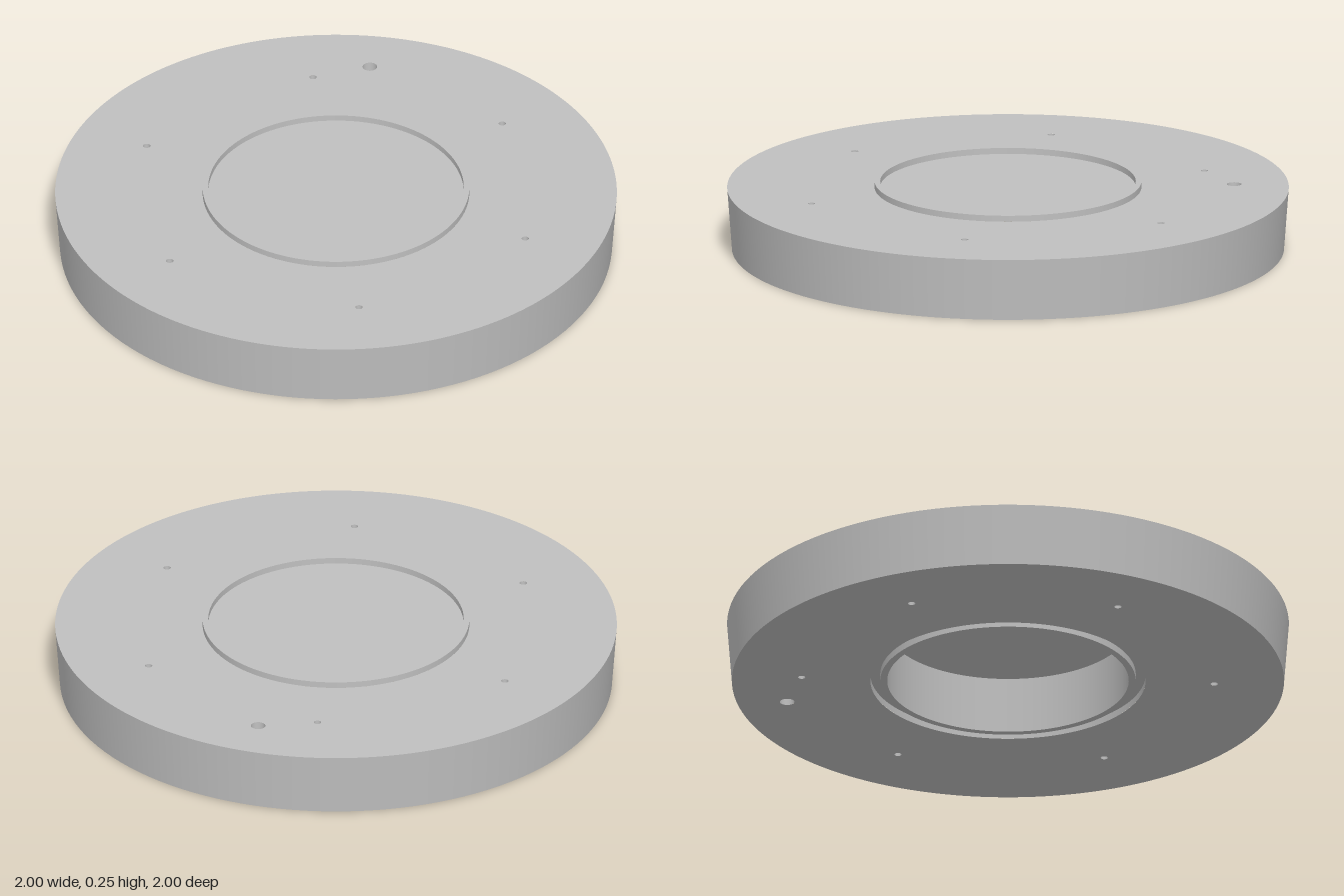
import * as THREE from 'three';
import { mergeGeometries } from 'three/addons/utils/BufferGeometryUtils.js';

const HEIGHT = 0.225; // flat top of the disc
const SEGMENTS = 128;
const PIN = { radius: 0.013, circle: 0.735, depth: 0.08 };
const DRAIN = { x: 0.57, z: -0.57, radius: 0.026 };

// Revolves a profile with a sharp edge at each corner; the solid lies to its left
function turned(profile, segments = SEGMENTS) {
  const bands = [];
  for (let i = 0; i < profile.length - 1; i++) {
    const pair = [profile[i], profile[i + 1]].map(([r, y]) => new THREE.Vector2(r, y));
    bands.push(new THREE.LatheGeometry(pair, segments));
  }
  return mergeGeometries(bands);
}

// Flat ring pierced by round holes, facing up (side 1) or down (side -1)
function piercedRing(inner, outer, y, side, holes) {
  const shape = new THREE.Shape().absarc(0, 0, outer, 0, Math.PI * 2, false);
  const cut = (x, z, r) =>
    shape.holes.push(new THREE.Path().absarc(x, -side * z, r, 0, Math.PI * 2, true));
  cut(0, 0, inner);
  holes.forEach((h) => cut(h.x, h.z, h.radius));
  return new THREE.ShapeGeometry(shape, SEGMENTS).rotateX((-side * Math.PI) / 2).translate(0, y, 0);
}

export function createModel() {
  const group = new THREE.Group();
  const grey = new THREE.MeshStandardMaterial({ color: 0xc0c0c0 });
  grey.name = 'plain grey';

  const add = (name, geometry, x = 0, z = 0) => {
    const mesh = new THREE.Mesh(geometry, grey);
    mesh.name = name;
    mesh.position.set(x, 0, z);
    group.add(mesh);
  };

  // Six pin holes on a circle, plus one larger through hole
  const pins = [];
  for (let i = 0; i < 6; i++) {
    const a = (i * Math.PI) / 3;
    pins.push({ x: PIN.circle * Math.cos(a), z: PIN.circle * Math.sin(a), radius: PIN.radius });
  }
  const holes = [...pins, DRAIN];

  // Disc body
  add('outerWall', turned([[0.983, 0], [1, HEIGHT]]));
  add('topFace', piercedRing(0.475, 1, HEIGHT, 1, holes));
  add('bottomFace', piercedRing(0.49, 0.983, 0, -1, holes));

  // Raised locating ring with the thin centre web inside it
  add('raisedRing', turned([[0.475, HEIGHT], [0.475, 0.247], [0.455, 0.247], [0.455, HEIGHT], [0, HEIGHT]]));

  // Deep central pocket below, surrounded by a matching shallow groove
  add('pocketAndGroove', turned([
    [0, 0.207], [0.43, 0.207], [0.43, 0], [0.455, 0], [0.455, 0.025], [0.49, 0.025], [0.49, 0],
  ]));

  // Hole linings
  const r = PIN.radius;
  for (const { x, z } of pins) {
    add('topPinHole', turned([[r, HEIGHT], [r, HEIGHT - PIN.depth], [0, HEIGHT - PIN.depth]], 32), x, z);
    add('bottomPinHole', turned([[0, PIN.depth], [r, PIN.depth], [r, 0]], 32), x, z);
  }
  add('throughHole', turned([[DRAIN.radius, HEIGHT], [DRAIN.radius, 0]], 48), DRAIN.x, DRAIN.z);

  return group;
}
